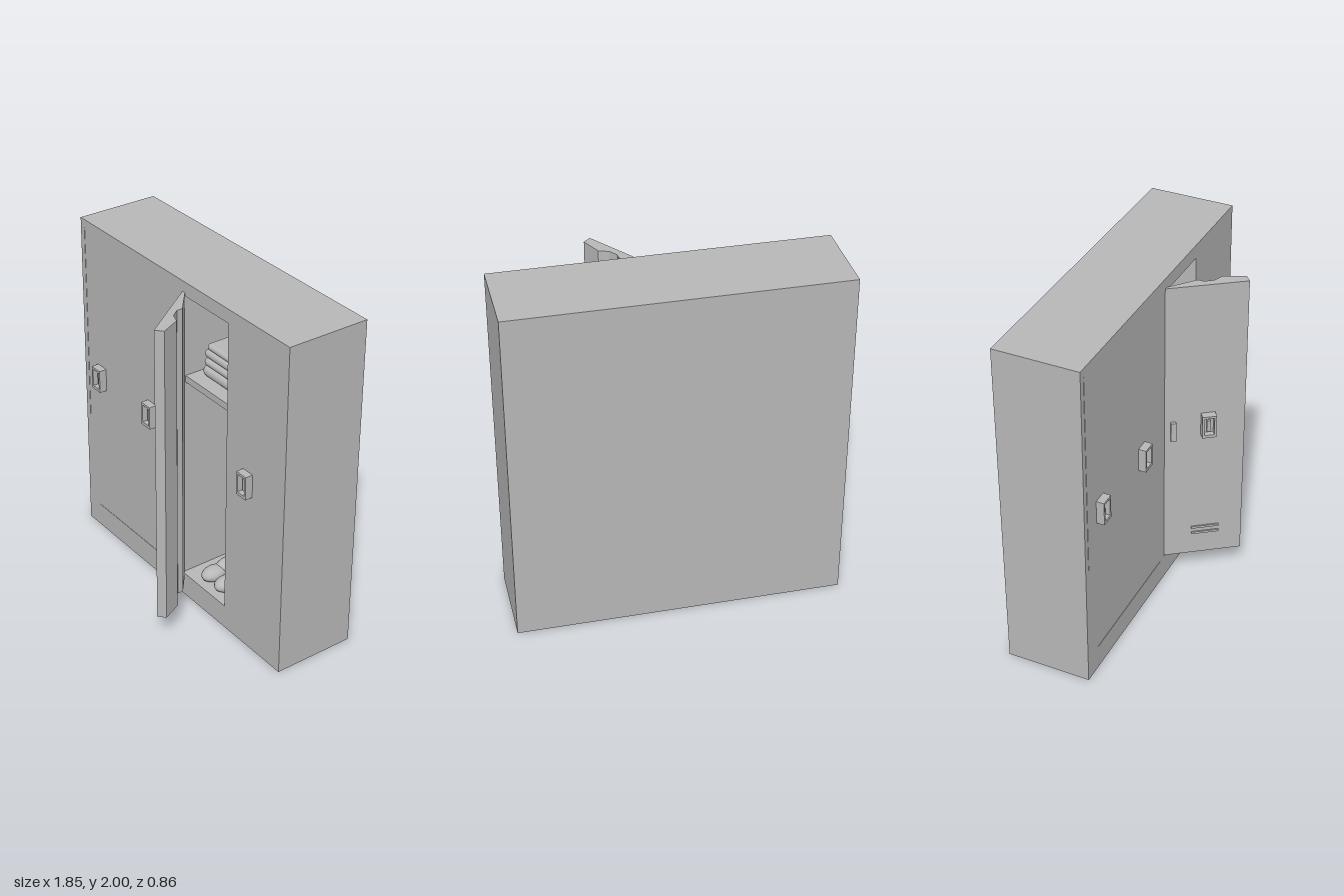
import * as THREE from 'three';
import { RoundedBoxGeometry } from 'three/addons/geometries/RoundedBoxGeometry.js';

const paint = new THREE.MeshStandardMaterial({ color: 0xb8b8b8 });
paint.name = 'grey paint';

function add(parent, name, geometry, x = 0, y = 0, z = 0) {
  const mesh = new THREE.Mesh(geometry, paint);
  mesh.name = name;
  mesh.position.set(x, y, z);
  parent.add(mesh);
  return mesh;
}

const box = (w, h, d) => new THREE.BoxGeometry(w, h, d);

function rectangle(Kind, x0, y0, x1, y1) {
  return new Kind([[x0, y0], [x1, y0], [x1, y1], [x0, y1]].map(([x, y]) => new THREE.Vector2(x, y)));
}

// Shallow frame around a recessed plate with a small pull bar
function handle() {
  const g = new THREE.Group();
  g.name = 'handle';
  const frame = rectangle(THREE.Shape, -0.04, -0.07, 0.04, 0.07);
  frame.holes.push(rectangle(THREE.Path, -0.028, -0.052, 0.028, 0.056));
  add(g, 'handleFrame', new THREE.ExtrudeGeometry(frame, { depth: 0.045, bevelEnabled: false }));
  add(g, 'handlePlate', box(0.058, 0.11, 0.012), 0, 0, 0.006);
  add(g, 'pullBar', box(0.02, 0.07, 0.016), 0, -0.005, 0.018);
  return g;
}

export function createModel() {
  const model = new THREE.Group();
  model.name = 'wardrobe';

  // Cabinet shell with one open compartment
  const shell = rectangle(THREE.Shape, -0.925, 0, 0.925, 2);
  shell.holes.push(rectangle(THREE.Path, 0.04, 0.145, 0.435, 1.92));
  add(model, 'cabinet', new THREE.ExtrudeGeometry(shell, { depth: 0.46, bevelEnabled: false }), 0, 0, -0.4);
  add(model, 'backPanel', box(1.85, 2, 0.03), 0, 1, -0.415);
  add(model, 'shelf', box(0.395, 0.04, 0.44), 0.2375, 1.41, -0.18);

  // Raised seams on the closed front
  add(model, 'plinthSeam', box(0.8, 0.006, 0.004), -0.41, 0.145, 0.06);
  add(model, 'sideSeam', box(0.006, 1.2, 0.004), -0.89, 1.35, 0.06);

  // Handles of the closed doors
  for (const x of [-0.75, -0.25, 0.62]) {
    const h = handle();
    h.position.set(x, 1.06, 0.06);
    model.add(h);
  }

  // Open door: plan section with a hollowed inner face, raised to full height
  const plan = [[0.04, 0.058], [0.06, 0.058], [0.2, 0.175], [0.2, 0.21], [0.235, 0.255],
    [0.29, 0.275], [0.345, 0.39], [0.305, 0.425]];
  const section = new THREE.Shape(plan.map(([x, z]) => new THREE.Vector2(x, -z)));
  const door = add(model, 'openDoor', new THREE.ExtrudeGeometry(section, { depth: 1.785, bevelEnabled: false }), 0, 0.155, 0);
  door.rotation.x = -Math.PI / 2;

  // Fittings follow the outer face of the door
  const fittings = new THREE.Group();
  fittings.name = 'doorFittings';
  fittings.position.set(0.04, 0, 0.058);
  fittings.rotation.y = -Math.atan2(0.367, 0.265);
  const doorHandle = handle();
  doorHandle.position.set(0.245, 1.06, 0);
  fittings.add(doorHandle);
  for (const y of [0.3, 0.34]) add(fittings, 'ventSlat', box(0.16, 0.014, 0.012), 0.24, y, 0.002);
  add(fittings, 'latch', box(0.03, 0.12, 0.02), 0.05, 1.03, 0.008);
  model.add(fittings);

  // Folded clothes on the shelf
  const layers = [[0.065, 0.33], [0.045, 0.31], [0.05, 0.32], [0.04, 0.28]];
  let y = 1.43;
  layers.forEach(([h, w], i) => {
    add(model, 'foldedCloth', new RoundedBoxGeometry(w, h, 0.28 - 0.01 * i, 4, h * 0.48), 0.25, y + h / 2, -0.17);
    y += h;
  });

  // Pair of shoes on the floor
  for (const x of [0.19, 0.31]) {
    const toe = add(model, 'shoeToe', new THREE.SphereGeometry(1, 20, 12), x, 0.18, -0.05);
    toe.scale.set(0.055, 0.045, 0.08);
    const heel = add(model, 'shoeHeel', new THREE.SphereGeometry(1, 20, 12), x, 0.19, -0.15);
    heel.scale.set(0.05, 0.055, 0.09);
  }
  return model;
}
